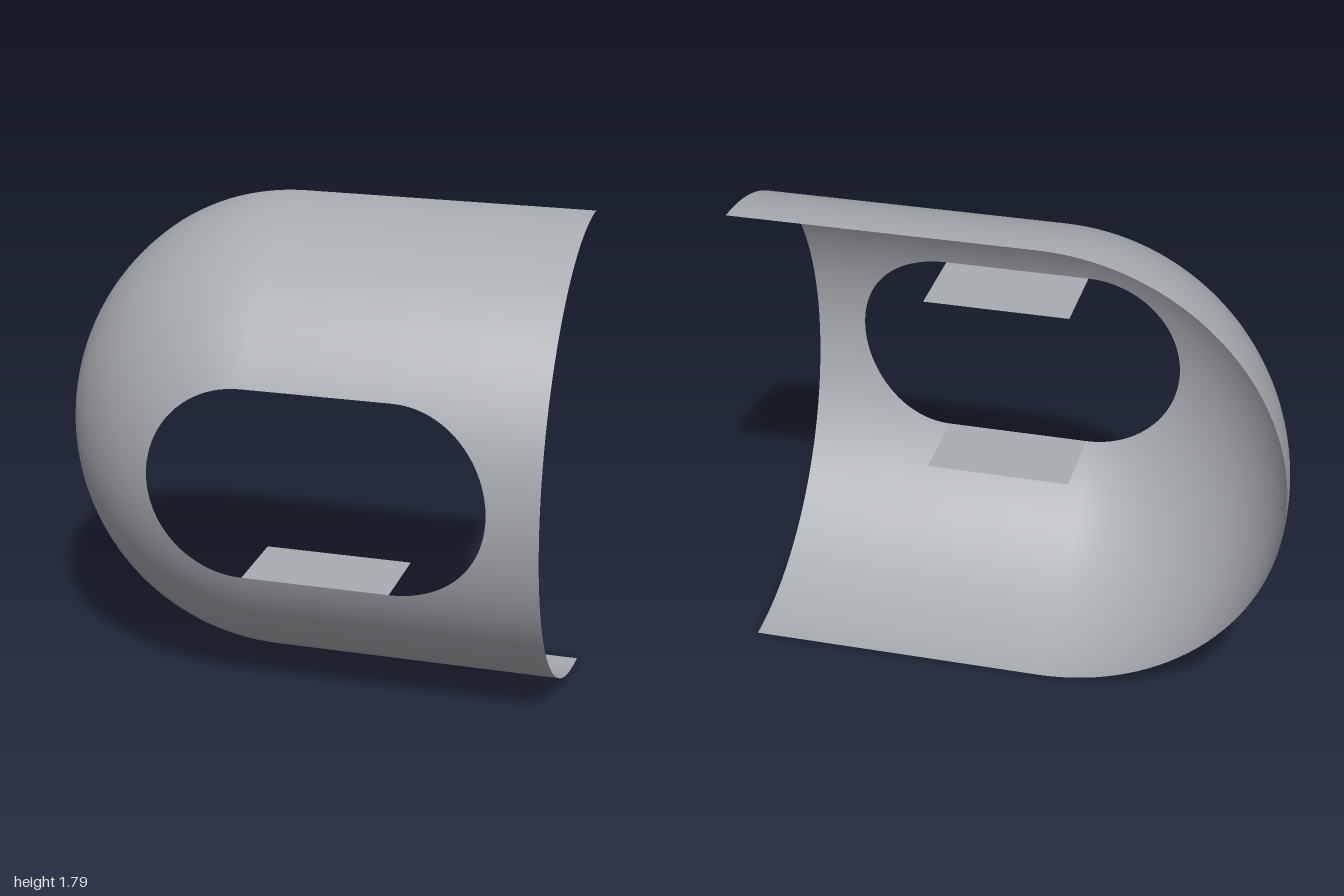
import * as THREE from 'three';

const R = 0.895;                    // shell radius
const CY = 0.895, CZ = -0.447;      // shell axis
const X0 = -0.105, X1 = 0.45;       // centres of the window's round ends
const END = 1;                      // open end of the barrel
const H = 0.361;                    // window radius
const T0 = Math.asin(H / R);        // angle of the window edge on the shell
const HALF = Math.PI / 2;

const shellGrey = new THREE.MeshStandardMaterial({ color: 0xa8abb0, side: THREE.DoubleSide });
shellGrey.name = 'shell grey';

// Smooth patch of the shell; at(u, v) returns a point, du x dv facing outwards
function patch(name, nu, nv, at) {
  const pos = [], nor = [], idx = [];
  for (let j = 0; j <= nv; j++) {
    for (let i = 0; i <= nu; i++) {
      const p = at(i / nu, j / nv);
      const n = new THREE.Vector3(Math.min(p.x - X0, 0), p.y - CY, p.z - CZ).normalize();
      pos.push(p.x, p.y, p.z);
      nor.push(n.x, n.y, n.z);
      if (i < nu && j < nv) {
        const a = j * (nu + 1) + i, b = a + 1, c = a + nu + 1, d = c + 1;
        idx.push(a, b, d, a, d, c);
      }
    }
  }
  const g = new THREE.BufferGeometry();
  g.setAttribute('position', new THREE.Float32BufferAttribute(pos, 3));
  g.setAttribute('normal', new THREE.Float32BufferAttribute(nor, 3));
  g.setIndex(idx);
  const mesh = new THREE.Mesh(g, shellGrey);
  mesh.name = name;
  return mesh;
}

// Point on the barrel at angle t above the axis
const onBarrel = (x, t) => new THREE.Vector3(x, CY + R * Math.sin(t), CZ + R * Math.cos(t));

export function createModel() {
  const model = new THREE.Group();
  model.name = 'windowedShell';

  // Quarter-sphere end, cut by the window's round end
  model.add(patch('domedEnd', 32, 64, (u, v) => {
    const p = THREE.MathUtils.lerp(T0, HALF, u), a = HALF + v * Math.PI;
    return new THREE.Vector3(
      X0 + R * Math.sin(p) * Math.cos(a),
      CY + R * Math.sin(p) * Math.sin(a),
      CZ + R * Math.cos(p));
  }));

  // Barrel walls above and below the window
  model.add(patch('upperWall', 4, 32, (u, v) =>
    onBarrel(THREE.MathUtils.lerp(X0, END, u), THREE.MathUtils.lerp(T0, HALF, v))));
  model.add(patch('lowerWall', 4, 32, (u, v) =>
    onBarrel(THREE.MathUtils.lerp(X0, END, u), THREE.MathUtils.lerp(-HALF, -T0, v))));

  // Barrel strip beside the window, following its round end
  model.add(patch('sideWall', 6, 48, (u, v) => {
    const s = (v - 0.5) * Math.PI;
    const start = X1 + H * Math.cos(s);
    return onBarrel(THREE.MathUtils.lerp(start, END, u), Math.asin(H * Math.sin(s) / R));
  }));

  // Flat ledges running back from the window's straight edges
  const depth = 0.32, edgeZ = CZ + R * Math.cos(T0);
  for (const side of [1, -1]) {
    const ledge = new THREE.Mesh(new THREE.PlaneGeometry(X1 - X0, depth), shellGrey);
    ledge.name = side > 0 ? 'upperLedge' : 'lowerLedge';
    ledge.rotation.x = -HALF;
    ledge.position.set((X0 + X1) / 2, CY + side * H, edgeZ - depth / 2);
    model.add(ledge);
  }
  return model;
}
